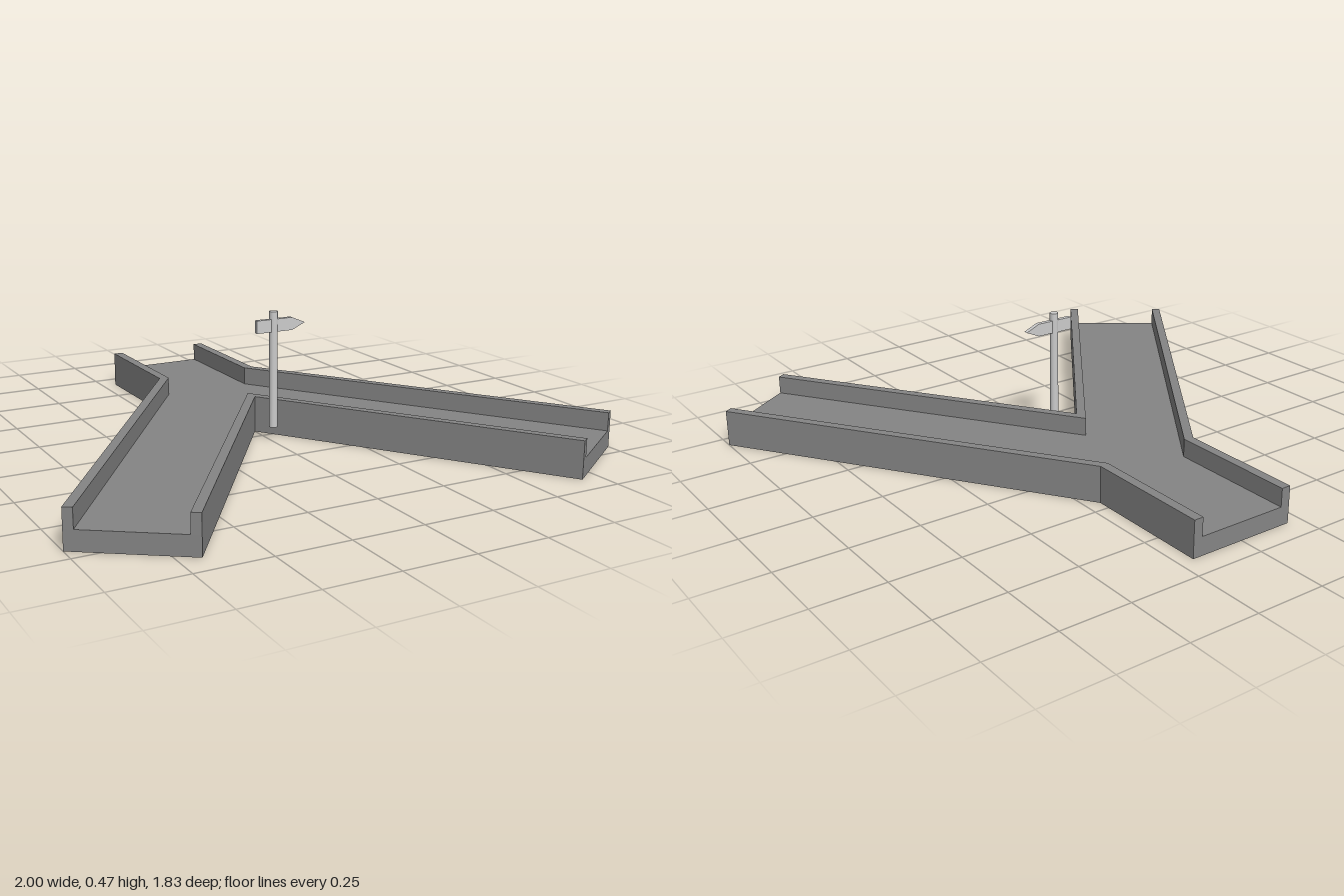
import * as THREE from 'three';

const FLOOR = 0.066, TOP = 0.131, POST_Z = 0.08;
const channelMaterial = new THREE.MeshStandardMaterial({ color: 0x858585 });
const signMaterial = new THREE.MeshStandardMaterial({ color: 0xcccccc });

// Plan outline given as [x, z] points, extruded from y0 up to y1
function slab(name, points, y0, y1) {
  const shape = new THREE.Shape(points.map(([x, z]) => new THREE.Vector2(x, z)));
  const geometry = new THREE.ExtrudeGeometry(shape, { depth: y1 - y0, bevelEnabled: false });
  geometry.rotateX(Math.PI / 2).translate(0, y1, 0);
  const mesh = new THREE.Mesh(geometry, channelMaterial);
  mesh.name = name;
  return mesh;
}

const mirror = (points) => points.map(([x, z]) => [-x, z]).reverse();

export function createModel() {
  const model = new THREE.Group();
  model.name = 'forkedChannel';

  // Y-shaped floor, open at its three ends
  const half = [[0.197, -0.915], [0.197, -0.457], [1, 0.69], [0.68, 0.914]];
  model.add(slab('floor', [...half, [0, -0.057], ...mirror(half)], 0, FLOOR));

  // Outer side walls, bent where the channel forks
  const outer = [
    [0.197, -0.915], [0.197, -0.457], [1, 0.69],
    [0.974, 0.708], [0.163, -0.45], [0.163, -0.915],
  ];
  model.add(slab('leftOuterWall', outer, FLOOR, TOP));
  model.add(slab('rightOuterWall', mirror(outer), FLOOR, TOP));

  // V-shaped wall between the two branches
  model.add(slab('innerWall', [
    [0, -0.057], [0.68, 0.914], [0.706, 0.896],
    [0, -0.112], [-0.706, 0.896], [-0.68, 0.914],
  ], FLOOR, TOP));

  // Signpost standing in the fork
  const signpost = new THREE.Group();
  signpost.name = 'signpost';
  signpost.position.z = POST_Z;
  const post = new THREE.Mesh(new THREE.CylinderGeometry(0.015, 0.015, 0.415, 16), signMaterial);
  post.name = 'post';
  post.position.y = 0.2625;
  signpost.add(post);

  // Arrow board pointing to +x
  const arrow = new THREE.Shape([
    [-0.068, 0.398], [0.07, 0.398], [0.121, 0.421], [0.07, 0.443], [-0.068, 0.443],
  ].map(([x, y]) => new THREE.Vector2(x, y)));
  const board = new THREE.Mesh(
    new THREE.ExtrudeGeometry(arrow, { depth: 0.016, bevelEnabled: false }), signMaterial);
  board.name = 'arrowBoard';
  board.position.z = -0.008;
  signpost.add(board);

  model.add(signpost);
  return model;
}
